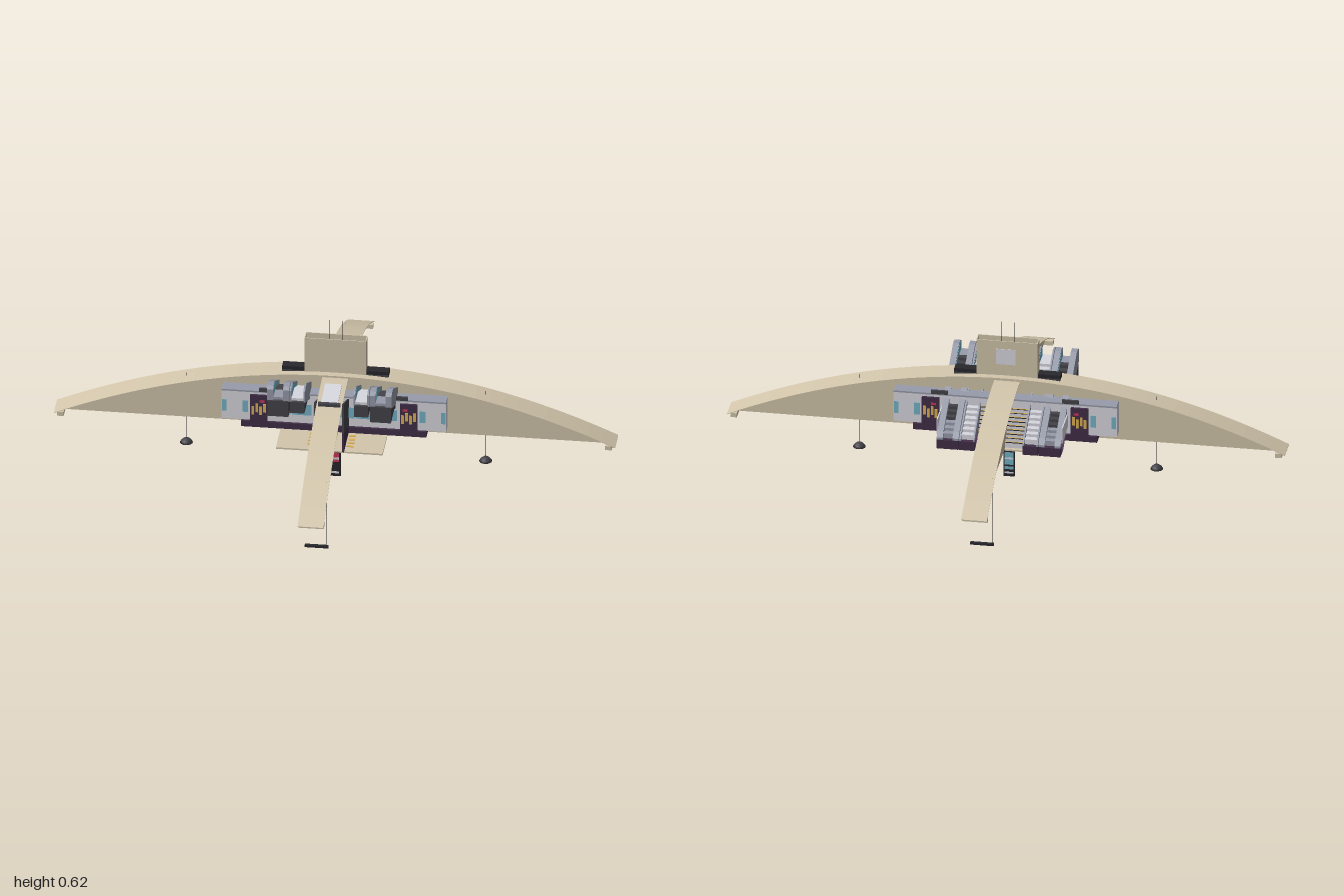
import * as THREE from 'three';

const mat = (name, color, double) => {
  const m = new THREE.MeshStandardMaterial({ color });
  m.name = name;
  if (double) m.side = THREE.DoubleSide;
  return m;
};

export function createModel() {
  const tan = mat('sandStone', 0xd3c6ac, true);
  const light = mat('lightPanel', 0xd8d8e0);
  const grey = mat('blueGrey', 0x989cab);
  const charcoal = mat('charcoal', 0x444349);
  const plum = mat('darkPlum', 0x422e48);
  const purple = mat('purple', 0xa06fb0);
  const blue = mat('windowBlue', 0x74b4c8);
  const yellow = mat('yellow', 0xdcb152);
  const red = mat('red', 0xc93755);
  const black = mat('black', 0x28282d);

  const root = new THREE.Group();
  root.name = 'archedStation';
  const group = (name, parent = root) => {
    const g = new THREE.Group();
    g.name = name;
    parent.add(g);
    return g;
  };
  const add = (parent, name, geo, m) => {
    const mesh = new THREE.Mesh(geo, m);
    mesh.name = name;
    parent.add(mesh);
    return mesh;
  };
  // Box from its min and max limits
  const box = (parent, name, m, x0, x1, y0, y1, z0, z1) => {
    const mesh = add(parent, name, new THREE.BoxGeometry(x1 - x0, y1 - y0, z1 - z0), m);
    mesh.position.set((x0 + x1) / 2, (y0 + y1) / 2, (z0 + z1) / 2);
    return mesh;
  };
  const rod = (parent, name, m, x, y0, y1, z, r = 0.001) =>
    add(parent, name, new THREE.CylinderGeometry(r, r, y1 - y0, 6), m).position.set(x, (y0 + y1) / 2, z);
  // Side profile given as [z, y] points, extruded from x0 to x1
  const sideProfile = (parent, name, m, pts, x0, x1) => {
    const shape = new THREE.Shape(pts.map(p => new THREE.Vector2(p[0], p[1])));
    const geo = new THREE.ExtrudeGeometry(shape, { depth: x1 - x0, bevelEnabled: false });
    geo.rotateY(-Math.PI / 2).translate(x1, 0, 0);
    return add(parent, name, geo, m);
  };

  // Arches: a web under a wide, thin curved flange, with small feet
  const arch = (name, half, rise, turn) => {
    const g = group(name);
    const base = 0.2, t = 0.002, n = 40, top = [], under = [];
    for (let i = 0; i <= n; i++) {
      const u = -1 + (2 * i) / n;
      const y = base + rise * (1 - u * u);
      top.push(new THREE.Vector2(u * half, y));
      under.push(new THREE.Vector2(u * half, y - t));
    }
    const slab = (pts, width, part) => {
      const geo = new THREE.ExtrudeGeometry(new THREE.Shape(pts), { depth: width, bevelEnabled: false });
      add(g, part, geo.translate(0, 0, -width / 2), tan);
    };
    slab([...top, ...under.slice().reverse()], 0.092, 'flange');
    slab(under.map(p => new THREE.Vector2(p.x, Math.max(base, p.y + 0.001))), 0.03, 'web');
    for (const s of [-1, 1]) {
      const a = s * (half - 0.035), b = s * (half - 0.012);
      box(g, 'foot', tan, Math.min(a, b), Math.max(a, b), 0.188, 0.204, -0.045, 0.045);
    }
    g.rotation.y = turn;
  };
  arch('longArch', 1, 0.222, 0);
  arch('crossArch', 0.73, 0.2, Math.PI / 2);

  // Hall body
  const hall = group('hall');
  box(hall, 'wall', light, -0.4, 0.4, 0.23, 0.345, -0.06, 0.06);
  box(hall, 'roof', grey, -0.4, 0.4, 0.345, 0.351, -0.063, 0.063);
  box(hall, 'base', plum, -0.33, 0.33, 0.205, 0.228, -0.066, 0.066);
  box(hall, 'floor', tan, -0.19, 0.19, 0.197, 0.203, -0.165, 0.195);
  box(hall, 'keel', plum, -0.062, 0.062, 0.186, 0.197, -0.045, 0.045);
  for (const s of [-1, 1]) {
    const face = (name, m, cx, w, y0, y1, d = 0.064) =>
      box(hall, name, m, cx - w / 2, cx + w / 2, y0, y1, s * d - 0.004, s * d + 0.004);
    for (let i = 0; i < 6; i++) face('window', blue, -0.19 + i * 0.076, 0.07, 0.263, 0.306, 0.058);
    for (const e of [-1, 1]) {
      face('endWindow', blue, e * 0.39, 0.016, 0.262, 0.308, 0.058);
      face('endWindow', blue, e * 0.316, 0.02, 0.262, 0.308, 0.058);
      face('doorway', plum, e * 0.267, 0.062, 0.212, 0.336);
      face('doorHeader', red, e * 0.255, 0.018, 0.308, 0.316, 0.066);
      for (let i = 0; i < 4; i++)
        face('doorLight', yellow, e * 0.267 - 0.021 + i * 0.014, 0.01, 0.258 + (i % 2) * 0.01, 0.292 + (i % 2) * 0.01, 0.066);
      face('canopy', charcoal, e * 0.235, 0.06, 0.352, 0.366, 0.066);
    }
    // Dark panels along the cross arch
    const px0 = s * 0.05 - 0.003, px1 = s * 0.05 + 0.003;
    sideProfile(hall, 'upperSidePanel', charcoal, [[0.06, 0.23], [0.2, 0.28], [0.2, 0.4], [0.06, 0.34]], px0, px1);
    sideProfile(hall, 'lowerSidePanel', plum, [[0.06, 0.203], [0.2, 0.203], [0.2, 0.28], [0.06, 0.23]], px0, px1);
    // Yellow edge lines on the front floor
    for (let i = 0; i < 4; i++)
      box(hall, 'floorLine', yellow, s * 0.07 - 0.012, s * 0.07 + 0.012, 0.203, 0.205, 0.08 + i * 0.024, 0.09 + i * 0.024);
  }
  // Pale plate over the front of the cross arch
  sideProfile(hall, 'frontDeck', light, [[0.07, 0.398], [0.185, 0.386], [0.185, 0.394], [0.07, 0.404]], -0.03, 0.03);
  box(hall, 'frontDeckEdge', charcoal, -0.04, 0.04, 0.384, 0.396, 0.186, 0.2);

  // Escalators running from the raised front down to the back
  const escalator = (x0, x1, w, trussY, railMat, upperMat, lowerMat) => {
    const g = group('escalator');
    const rail = [[0.195, 0.392], [0.195, 0.438], [0.18, 0.447], [0.15, 0.447], [-0.185, 0.268],
      [-0.205, 0.25], [-0.205, 0.24], [-0.185, 0.242], [-0.06, 0.285], [0.07, 0.335]];
    const glass = [[0.18, 0.4], [0.18, 0.44], [0.15, 0.44], [0.03, 0.376], [0.03, 0.34]];
    for (const [x, inner] of [[x0, x0 + w], [x1 - w, x1 - w - 0.001]]) {
      sideProfile(g, 'balustrade', railMat, rail, x, x + w);
      sideProfile(g, 'balustradeGlass', blue, glass, inner, inner + 0.001);
    }
    sideProfile(g, 'upperTruss', charcoal, [[0.198, trussY], [0.198, 0.395], [0.14, 0.395], [0.0, 0.315],
      [0.0, 0.29], [0.1, trussY]], x0 + 0.002, x1 - 0.002);
    sideProfile(g, 'lowerTruss', purple,
      [[0.0, 0.28], [0.0, 0.306], [-0.06, 0.285], [-0.19, 0.242], [-0.2, 0.235], [-0.2, 0.205], [-0.14, 0.203]],
      x0 + 0.001, x1 - 0.001);
    for (let i = 0; i < 15; i++) {
      const z = 0.13 - i * 0.022, y = 0.408 - i * 0.0105;
      box(g, 'step', i < 12 ? upperMat : lowerMat, x0 + w, x1 - w, y - 0.022, y, z - 0.012, z + 0.012);
    }
    box(g, 'topLanding', lowerMat, x0 + w, x1 - w, 0.398, 0.408, 0.14, 0.193);
    box(g, 'toeCap', plum, x0, x1, 0.208, 0.242, -0.207, -0.186);
  };
  for (const s of [-1, 1]) {
    const pair = (a, b, ...rest) => escalator(Math.min(s * a, s * b), Math.max(s * a, s * b), ...rest);
    pair(0.143, 0.222, 0.022, 0.332, grey, charcoal, grey);
    pair(0.086, 0.141, 0.006, 0.35, grey, light, light);
    // Pale screen beside the lower run
    sideProfile(group('sideScreen'), 'screen', light,
      [[-0.07, 0.262], [-0.07, 0.31], [-0.18, 0.31], [-0.18, 0.25]].reverse(), s * 0.224 - 0.002, s * 0.224 + 0.002);
  }

  // Middle stairs at the back: yellow treads, pale risers, dark nosings
  const stairs = group('middleStairs');
  for (let i = 0; i < 9; i++) {
    const z = -0.066 - i * 0.011, y = 0.315 - i * 0.011;
    box(stairs, 'tread', [light, light, yellow, light, light, light], -0.085, 0.085, y - 0.02, y, z - 0.0055, z + 0.0055);
    box(stairs, 'nosing', black, -0.085, 0.085, y - 0.001, y + 0.001, z - 0.0055, z - 0.002);
  }

  // Open-topped tower on a dark ridge beam
  const tower = group('tower');
  box(tower, 'ridgeBeam', black, -0.19, 0.19, 0.415, 0.434, -0.017, 0.017);
  box(tower, 'ridgeLight', red, -0.05, 0.05, 0.434, 0.437, -0.003, 0.003);
  for (const s of [-1, 1]) {
    box(tower, 'broadWall', tan, -0.11, 0.11, 0.4, 0.556, s * 0.0195 - 0.0015, s * 0.0195 + 0.0015);
    box(tower, 'narrowWall', tan, s * 0.1085 - 0.0015, s * 0.1085 + 0.0015, 0.4, 0.556, -0.018, 0.018);
    rod(tower, 'antenna', black, s * 0.024, 0.43, 0.622, 0, 0.0008);
    box(tower, 'ridgeBlock', charcoal, s * 0.15 - 0.04, s * 0.15 + 0.04, 0.405, 0.42, -0.02, 0.02);
  }
  box(tower, 'backPlate', light, -0.03, 0.04, 0.465, 0.525, -0.0225, -0.0205);

  // Domed lamps under the long arch, bar lamps under the cross arch
  for (const s of [-1, 1]) {
    const lamp = group('domeLamp');
    rod(lamp, 'wire', black, s * 0.533, 0.1, 0.372, 0);
    const pts = [[0, 0.104], [0.01, 0.102], [0.018, 0.095], [0.023, 0.087], [0, 0.087]]
      .reverse().map(p => new THREE.Vector2(p[0], p[1]));
    add(lamp, 'shade', new THREE.LatheGeometry(pts, 16), charcoal).position.x = s * 0.533;

    const bar = group('barLamp');
    rod(bar, 'wire', black, s * 0.036, 0.022, 0.284, s * 0.556);
    box(bar, 'bar', black, -0.042, 0.042, 0.018, 0.026, s * 0.556 - 0.006, s * 0.556 + 0.006);
  }

  // Hanging banner below the middle
  const banner = group('hangingBanner');
  box(banner, 'panel', black, -0.02, 0.02, 0.002, 0.18, 0.022, 0.027);
  box(banner, 'frontField', red, -0.014, 0.014, 0.06, 0.13, 0.027, 0.028);
  box(banner, 'backField', blue, -0.016, 0.016, 0.03, 0.15, 0.021, 0.022);
  for (let i = 0; i < 6; i++) {
    const y = 0.014 + i * 0.028;
    box(banner, 'frontStripe', i % 2 ? black : light, -0.015, 0.015, y, y + 0.008, 0.028, 0.029);
    box(banner, 'backStripe', i % 2 ? black : light, -0.016, 0.016, y, y + 0.006, 0.02, 0.021);
  }
  return root;
}
